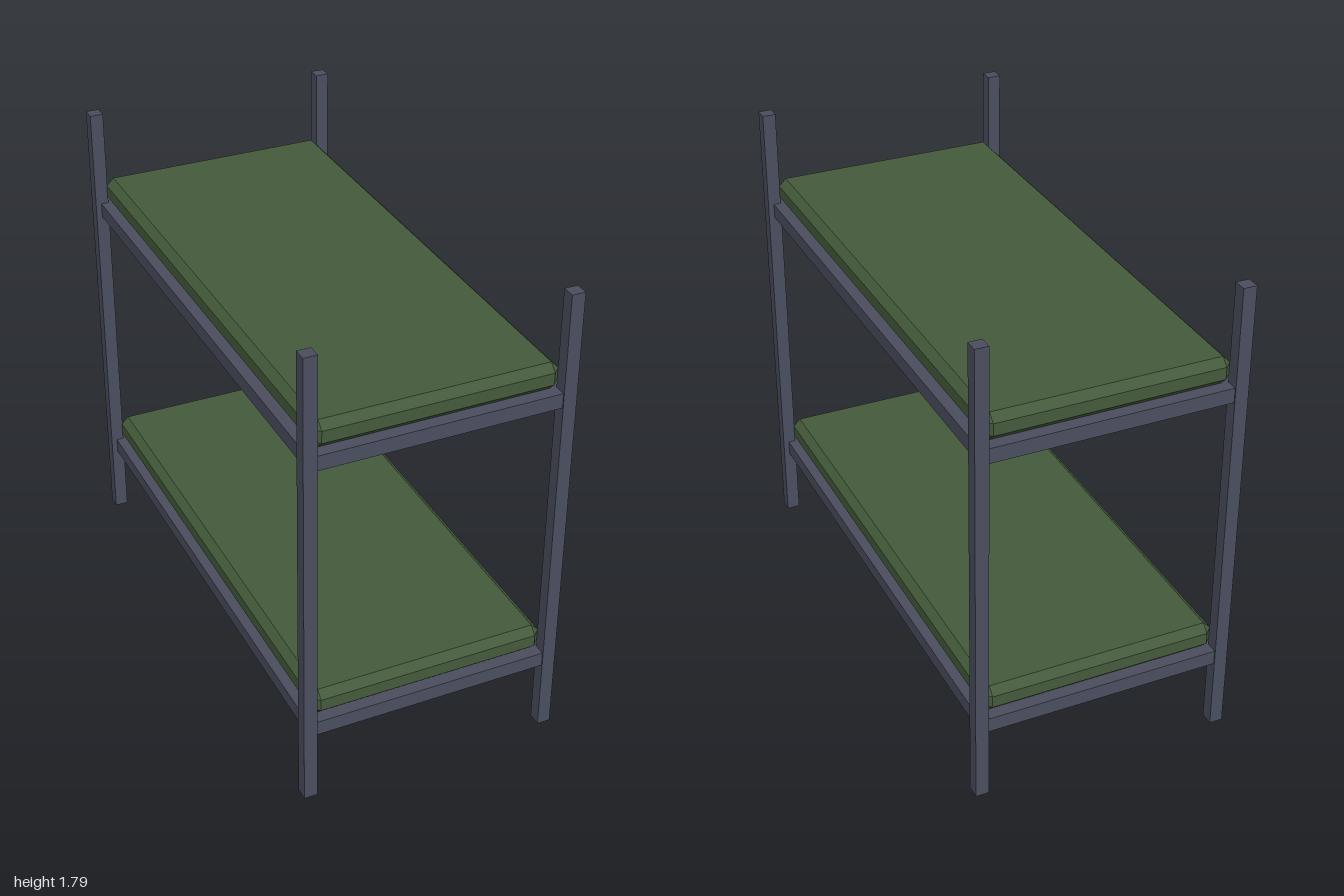
import * as THREE from 'three';
import { ConvexGeometry } from 'three/addons/geometries/ConvexGeometry.js';

// Box with every edge and corner cut by one flat chamfer
function chamferedBox(w, h, d, c) {
  const points = [];
  for (const sx of [-1, 1]) for (const sy of [-1, 1]) for (const sz of [-1, 1]) {
    for (let axis = 0; axis < 3; axis++) {
      const p = [w / 2 - c, h / 2 - c, d / 2 - c];
      p[axis] += c;
      points.push(new THREE.Vector3(sx * p[0], sy * p[1], sz * p[2]));
    }
  }
  return new ConvexGeometry(points);
}

export function createModel() {
  const group = new THREE.Group();
  const metal = new THREE.MeshStandardMaterial({ color: 0x4a4d5e });
  metal.name = 'slate metal';
  const fabric = new THREE.MeshStandardMaterial({ color: 0x445a3b });
  fabric.name = 'olive fabric';

  const add = (name, geometry, material, x, y, z) => {
    const mesh = new THREE.Mesh(geometry, material);
    mesh.name = name;
    mesh.position.set(x, y, z);
    group.add(mesh);
  };

  // Four corner posts
  const postHeight = 1.795;
  const post = new THREE.BoxGeometry(0.05, postHeight, 0.05);
  for (const sx of [-1, 1]) for (const sz of [-1, 1]) {
    add(`${sz > 0 ? 'front' : 'back'}${sx > 0 ? 'Left' : 'Right'}Post`,
      post, metal, sx * 0.469, postHeight / 2, sz * 0.975);
  }

  // Two bunks: a solid deck with a chamfered mattress on it
  const deck = new THREE.BoxGeometry(0.944, 0.056, 1.99);
  const mattress = chamferedBox(0.894, 0.102, 1.95, 0.028);
  for (const [name, base] of [['lower', 0.273], ['upper', 1.368]]) {
    add(`${name}Deck`, deck, metal, 0, base + 0.028, 0);
    add(`${name}Mattress`, mattress, fabric, 0, base + 0.107, 0);
  }
  return group;
}
